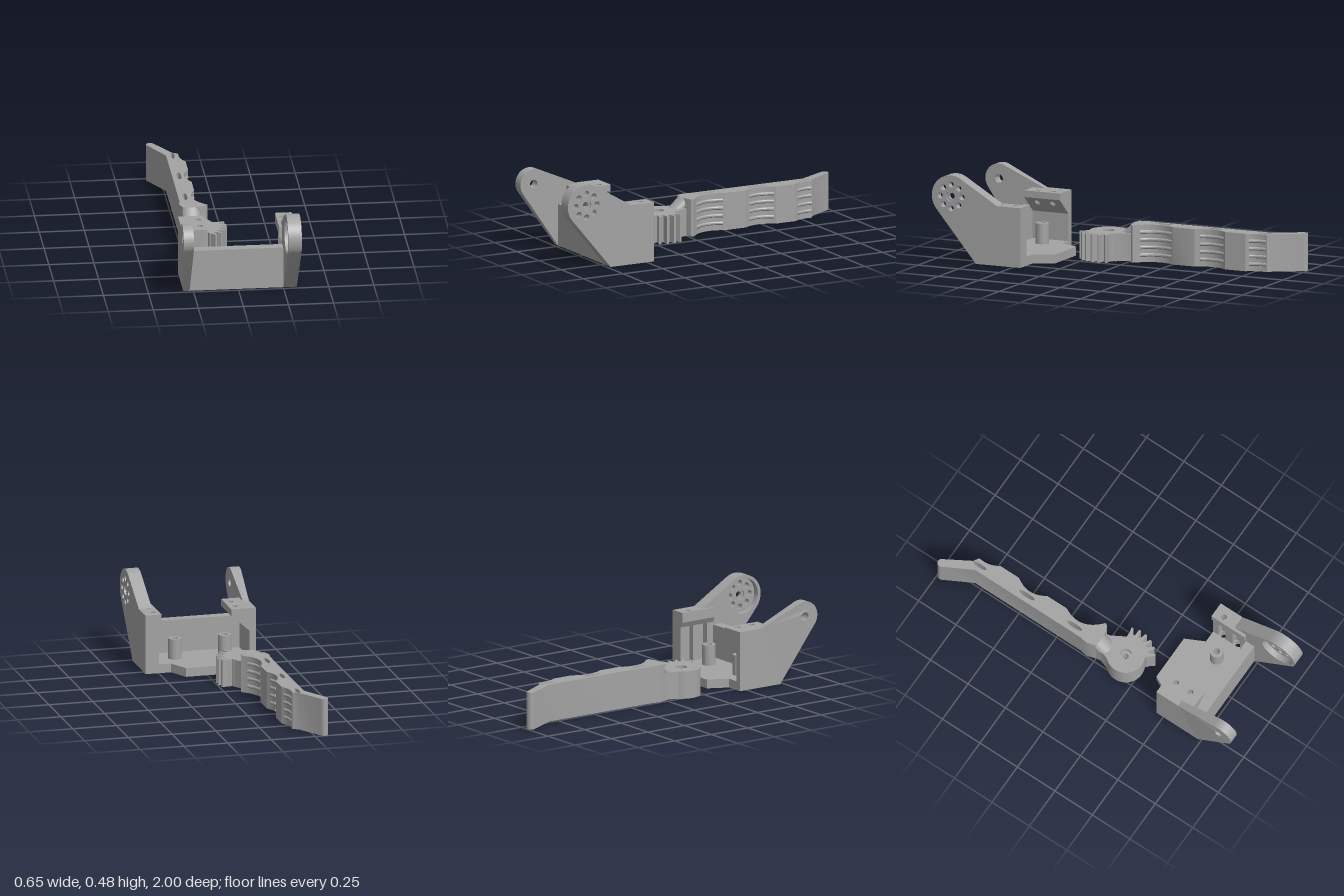
import * as THREE from 'three';
import { toCreasedNormals } from 'three/addons/utils/BufferGeometryUtils.js';

export function createModel() {
  const model = new THREE.Group();
  const bracket = new THREE.Group();
  bracket.name = 'bracket';
  const finger = new THREE.Group();
  finger.name = 'finger';
  model.add(bracket, finger);
  const grey = new THREE.MeshStandardMaterial({ color: 0xa3a3a3, side: THREE.DoubleSide });
  grey.name = 'grey plastic';

  const add = (group, name, geometry) => {
    const mesh = new THREE.Mesh(toCreasedNormals(geometry, 0.5), grey);
    mesh.name = name;
    group.add(mesh);
  };
  // Polygon given as [x, z] pairs
  const outline = (pts) => new THREE.Shape(pts.map(([x, z]) => new THREE.Vector2(x, -z)));
  const rect = (x0, x1, z0, z1) => outline([[x0, z1], [x1, z1], [x1, z0], [x0, z0]]);
  const ellipse = (x, z, rx, rz = rx, n = 24) => {
    const pts = [];
    for (let i = 0; i < n; i++) {
      const a = (i / n) * Math.PI * 2;
      pts.push(new THREE.Vector2(x + rx * Math.cos(a), -z + rz * Math.sin(a)));
    }
    return new THREE.Path(pts);
  };
  const disc = (x, z, r) => new THREE.Shape(ellipse(x, z, r, r, 48).getPoints());
  const extrude = (shape, depth, holes) => {
    shape.holes.push(...holes);
    return new THREE.ExtrudeGeometry(shape, { depth, bevelEnabled: false, curveSegments: 16 });
  };
  // Horizontal slab from y0 to y1, and upright slab from x0 to x1
  const slabY = (shape, y0, y1, holes = []) =>
    extrude(shape, y1 - y0, holes).rotateX(-Math.PI / 2).translate(0, y0, 0);
  const slabX = (shape, x0, x1, holes = []) =>
    extrude(shape, x1 - x0, holes).rotateY(Math.PI / 2).translate(x0, 0, 0);
  // Moves each vertex by a rule
  const bend = (geometry, rule) => {
    const p = geometry.attributes.position;
    const v = new THREE.Vector3();
    for (let i = 0; i < p.count; i++) {
      rule(v.fromBufferAttribute(p, i));
      p.setXYZ(i, v.x, v.y, v.z);
    }
    geometry.computeVertexNormals();
    return geometry;
  };

  // ---- Bracket: floor with nut pockets, screw posts and front wall
  const screwZ = [0.515, 0.61];
  const posts = [[-0.155, 0.56], [0.13, 0.56]];
  add(bracket, 'floor', slabY(
    outline([[-0.305, 0.73], [0.325, 0.73], [0.325, 0.455], [0.18, 0.455], [0.125, 0.345],
      [-0.145, 0.345], [-0.2, 0.455], [-0.305, 0.455]]), 0, 0.05,
    [...posts.map(([x, z]) => ellipse(x, z, 0.027, 0.027, 6)),
      ...screwZ.map((z) => ellipse(0.268, z, 0.02, 0.02, 6))]));
  for (const [x, z] of posts) {
    add(bracket, 'screwPost', slabY(disc(x, z, 0.037), 0.05, 0.165, [ellipse(x, z, 0.018)]));
  }
  add(bracket, 'frontWall', slabY(rect(-0.27, 0.25, 0.675, 0.73), 0, 0.235));

  // ---- Side arms: profile in (-z, y) with a round end
  const cu = -0.883, cv = 0.366;
  const armShape = (r, base) => {
    const tangent = (u, v, side) =>
      Math.atan2(v - cv, u - cu) + side * Math.acos(r / Math.hypot(u - cu, v - cv));
    const s = new THREE.Shape();
    s.moveTo(-0.73, 0);
    base.forEach(([u, v]) => s.lineTo(u, v));
    s.lineTo(-0.6, 0.335);
    s.absarc(cu, cv, r, tangent(-0.6, 0.335, 1), tangent(-0.73, 0, -1) + 2 * Math.PI, false);
    return s;
  };
  const armHole = (u, v, r) => ellipse(u, -v, r);

  // Left arm: drilled horn plate over a round pocket
  const leftBase = [[-0.66, 0], [-0.66, 0.335]];
  const hornHoles = [armHole(cu, cv, 0.03)];
  for (let i = 0; i < 8; i++) {
    const a = (i * Math.PI) / 4;
    hornHoles.push(armHole(cu + 0.067 * Math.cos(a), cv + 0.067 * Math.sin(a), 0.016));
  }
  add(bracket, 'leftArmPlate', slabX(armShape(0.118, leftBase), 0.285, 0.325, hornHoles));
  add(bracket, 'leftArmRim', slabX(armShape(0.118, leftBase), 0.25, 0.285, [armHole(cu, cv, 0.1)]));
  add(bracket, 'leftArmBush', slabX(new THREE.Shape(armHole(cu, cv, 0.031).getPoints()),
    0.295, 0.315, [armHole(cu, cv, 0.018)]));

  // Left wall with screw channels, and the mounting block above it
  const wall = [[0.325, 0.66], [0.325, 0.455], [0.25, 0.455]];
  for (const z of screwZ) wall.push([0.25, z - 0.024], [0.285, z - 0.024], [0.285, z + 0.024], [0.25, z + 0.024]);
  wall.push([0.25, 0.66]);
  add(bracket, 'leftWall', slabY(outline(wall), 0.05, 0.27));
  const leftScrews = () => screwZ.map((z) => ellipse(0.268, z, 0.016));
  add(bracket, 'leftWallTop', slabY(rect(0.25, 0.325, 0.455, 0.66), 0.27, 0.335, leftScrews()));
  add(bracket, 'leftBlock', bend(slabY(rect(0.233, 0.25, 0.455, 0.675), 0.28, 0.335), (v) => {
    if (v.y < 0.3 && v.x > 0.24) v.y = 0.25;
  }));

  // Right wall, flared arm and gusseted mounting block
  const rightWall = new THREE.Shape([[-0.73, 0], [-0.455, 0], [-0.455, 0.335], [-0.6, 0.335]]
    .map(([u, v]) => new THREE.Vector2(u, v)));
  add(bracket, 'rightWall', slabX(rightWall, -0.305, -0.27));
  add(bracket, 'rightArm', bend(
    slabX(armShape(0.084, []), -0.305, -0.27, [armHole(cu, cv, 0.024)]), (v) => {
      const along = (v.z - 0.73) * 0.933 + v.y * 0.362;
      if (v.x < -0.29) v.x -= 0.022 * THREE.MathUtils.clamp(along / 0.26, 0, 1);
    }));
  add(bracket, 'rightBlock', bend(
    slabY(rect(-0.27, -0.165, 0.455, 0.675), 0.2, 0.335, screwZ.map((z) => ellipse(-0.2, z, 0.016))),
    (v) => { if (v.y < 0.25) v.y = 0.204 + (v.x + 0.27) * 0.886; }));

  // ---- Finger hub with a stepped bore and gear teeth
  const hx = -0.165, hz = 0.155, hubTop = 0.155;
  add(finger, 'hub', slabY(disc(hx, hz, 0.107), 0, hubTop, [ellipse(hx, hz, 0.033)]));
  add(finger, 'hubBush', slabY(disc(hx, hz, 0.034), 0.05, 0.13, [ellipse(hx, hz, 0.016)]));
  const polar = (r, deg) => {
    const a = THREE.MathUtils.degToRad(deg);
    return [hx + r * Math.cos(a), hz + r * Math.sin(a)];
  };
  const gear = [];
  for (let i = 0; i < 6; i++) {
    const d = -21 + i * 15.5;
    gear.push(polar(0.122, d - 7), polar(0.128, d - 4.5), polar(0.163, d - 2.2),
      polar(0.163, d + 2.2), polar(0.128, d + 4.5), polar(0.122, d + 7));
  }
  gear.push(polar(0.08, 63), polar(0.08, 40), polar(0.08, 15), polar(0.08, -10), polar(0.08, -40));
  add(finger, 'gearTeeth', slabY(outline(gear), 0, hubTop));
  add(finger, 'neck', slabY(outline([[-0.23, -0.02], [-0.225, 0.03], [-0.245, 0.09], [-0.2, 0.1],
    [-0.13, 0.1], [-0.085, 0.08], [-0.12, 0.02], [-0.13, -0.02]]), 0, hubTop));
  // Slanted round nose joining the neck to the finger
  add(finger, 'nose', bend(new THREE.CylinderGeometry(0.05, 0.05, 0.055, 32).toNonIndexed()
    .translate(-0.185, 0.1825, 0), (v) => { v.z += v.y > 0.18 ? -0.045 : 0.018; }));

  // ---- Finger body: scallops as [start, control, end] in x, z
  const scallops = [
    [[-0.168, -0.82], [-0.178, -0.75], [-0.14, -0.7]],
    [[-0.14, -0.575], [-0.205, -0.48], [-0.14, -0.385]],
    [[-0.14, -0.255], [-0.21, -0.13], [-0.09, -0.03]],
  ];
  const body = outline([[-0.23, 0], [-0.245, -0.05], [-0.238, -0.1], [-0.238, -0.8], [-0.327, -0.965]]);
  body.absarc(-0.308, 0.978, 0.022, Math.PI * 1.15, Math.PI * 0.17, true);
  body.lineTo(-0.2, 0.84);
  for (const [a, c, b] of scallops) {
    body.lineTo(a[0], -a[1]);
    body.quadraticCurveTo(c[0], -c[1], b[0], -b[1]);
  }
  body.lineTo(-0.098, 0.015);
  body.lineTo(-0.135, 0);
  body.closePath();
  add(finger, 'fingerBody', slabY(body, 0, 0.21, [ellipse(-0.2, -0.165, 0.012, 0.052),
    ellipse(-0.2, -0.483, 0.012, 0.052), ellipse(-0.203, -0.795, 0.011, 0.045)]));

  // Grip ribs running along every scallop
  for (const s of scallops) {
    const [a, c, b] = s.map(([x, z]) => new THREE.Vector3(x - 0.004, 0, z));
    const arc = new THREE.QuadraticBezierCurve3(a, c, b);
    const pts = [0.04, 0.25, 0.45, 0.65, 0.86].map((t) => arc.getPoint(t));
    const path = new THREE.CatmullRomCurve3(pts);
    for (const y of [0.04, 0.083, 0.126, 0.169]) {
      add(finger, 'gripRib', new THREE.TubeGeometry(path, 20, 0.011, 10).translate(0, y, 0));
    }
  }
  return model;
}
